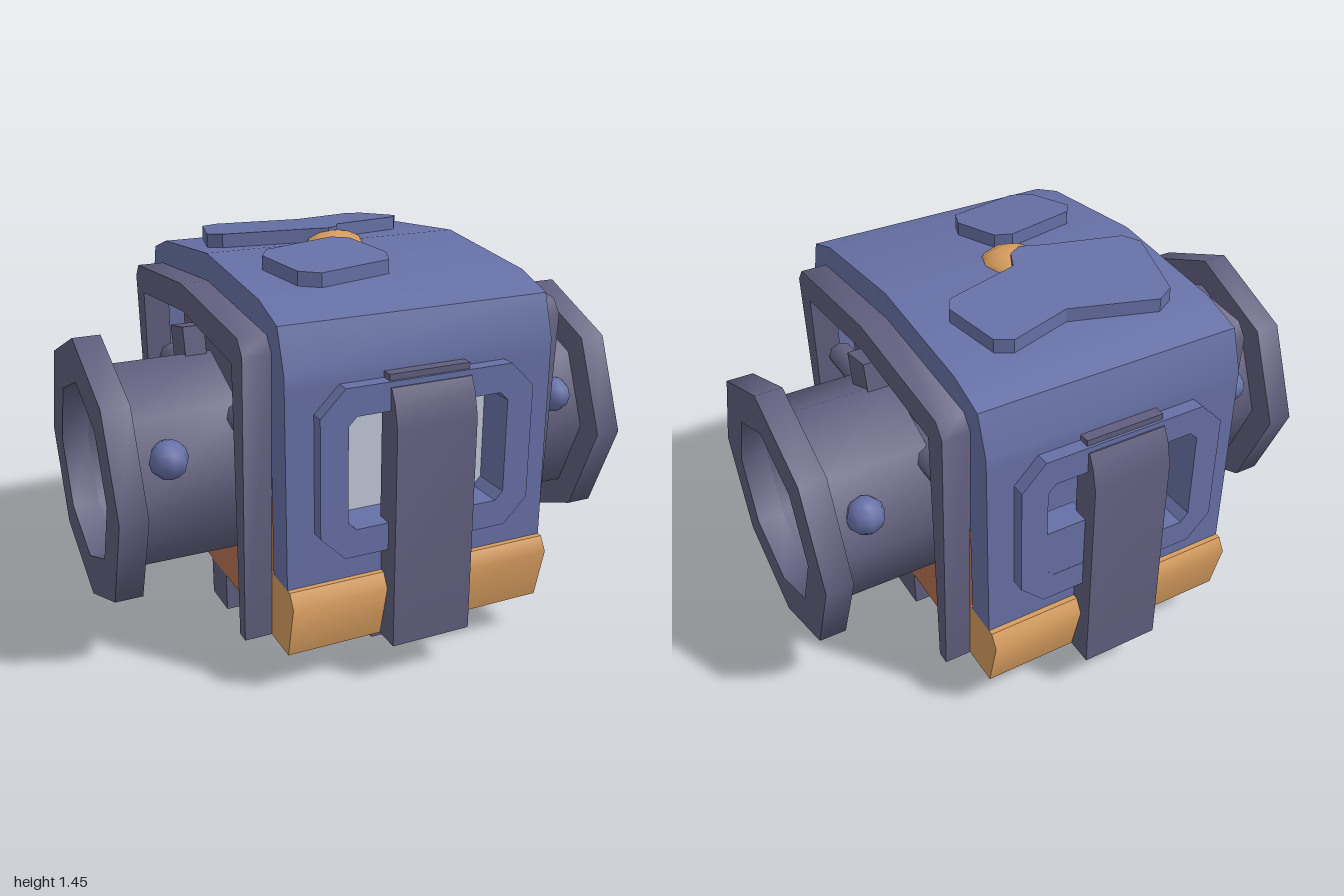
import * as THREE from 'three';
import { toCreasedNormals } from 'three/addons/utils/BufferGeometryUtils.js';

const mat = (name, color) => {
  const m = new THREE.MeshStandardMaterial({ color });
  m.name = name;
  return m;
};

export function createModel() {
  const blue = mat('slateBlue', 0x6670a5);
  const grey = mat('darkGrey', 0x605e7d);
  const orange = mat('orange', 0xd69c5e);
  const rust = mat('rust', 0xb56f50);
  const pale = mat('paleGlass', 0xc0c8d8);

  const root = new THREE.Group();
  const add = (name, geo, material, parent = root) => {
    const m = new THREE.Mesh(geo, material);
    m.name = name;
    parent.add(m);
    return m;
  };
  const poly = (pts) => new THREE.Shape(pts.map(([a, b]) => new THREE.Vector2(a, b)));
  const extrude = (shape, depth) =>
    new THREE.ExtrudeGeometry(shape, { depth, bevelEnabled: false });
  // Profile drawn in (z, y), swept from x0 to x1
  const sweepX = (shape, x0, x1) =>
    toCreasedNormals(extrude(shape, x1 - x0).rotateY(-Math.PI / 2).translate(x1, 0, 0), 0.9);
  // Rectangle with cut corners
  const chamfered = (x0, y0, x1, y1, c) => [
    [x0 + c, y0], [x1 - c, y0], [x1, y0 + c], [x1, y1 - c],
    [x1 - c, y1], [x0 + c, y1], [x0, y1 - c], [x0, y0 + c]];
  const octagon = (r, cy = 0) => Array.from({ length: 8 }, (_, i) => {
    const a = i * Math.PI / 4;
    return [r * Math.cos(a), cy + r * Math.sin(a)];
  });
  // Symmetric arch: half outlines run from the foot up to the crown
  const arch = (outer, inner) => {
    const flip = (p) => p.filter(([z]) => z > 0).map(([z, y]) => [-z, y]);
    return poly([...outer, ...flip(outer).reverse(), ...flip(inner), ...[...inner].reverse()]);
  };

  // Roof of the housing
  add('roof', sweepX(arch(
    [[0.7, 1.1], [0.7, 1.15], [0.65, 1.3], [0.5, 1.35], [0, 1.4]],
    [[0.58, 1.1], [0.58, 1.22], [0, 1.28]]), -0.5, 0.5), blue);

  // Inner core and chamber
  add('core', extrude(poly(chamfered(-0.5, -0.5, 0.5, 0.5, 0.045)), 0.5)
    .rotateX(-Math.PI / 2).translate(0, 0.15, 0), rust);
  add('chamber', new THREE.BoxGeometry(0.88, 0.58, 1).translate(0, 0.94, 0), grey);

  // Front and back walls, each with windows, strap and skirt
  for (const side of ['front', 'back']) {
    const g = new THREE.Group();
    g.name = side + 'Wall';
    if (side === 'back') g.rotation.y = Math.PI;
    root.add(g);

    const opening = () => poly(chamfered(-0.3, 0.6, 0.3, 1, 0.03));
    const wall = poly([[-0.5, 0.4], [0.5, 0.4], [0.5, 1.1], [-0.5, 1.1]]);
    wall.holes.push(opening());
    add('wallPanel', extrude(wall, 0.12).translate(0, 0, 0.58), blue, g);
    const frame = poly(chamfered(-0.4, 0.5, 0.4, 1.1, 0.09));
    frame.holes.push(opening());
    add('windowFrame', extrude(frame, 0.05).translate(0, 0, 0.7), blue, g);
    add('windowPane', new THREE.BoxGeometry(0.66, 0.46, 0.008).translate(0, 0.8, 0.6),
      side === 'front' ? pale : blue, g);
    if (side === 'back') {
      add('windowCover', new THREE.BoxGeometry(0.17, 0.2, 0.1).translate(-0.22, 0.695, 0.699), blue, g);
    }
    add('skirt', sweepX(poly(
      [[0.55, 0.15], [0.7, 0.15], [0.75, 0.35], [0.72, 0.4], [0.56, 0.4]]), -0.5, 0.5), orange, g);
    add('strap', sweepX(poly(
      [[0.69, 0.149], [0.8, 0.149], [0.8, 0.95], [0.78, 1.03], [0.755, 1.08], [0.69, 1.08]]),
      -0.15, 0.15), grey, g);
    add('strapClip', new THREE.BoxGeometry(0.3, 0.03, 0.05).translate(0, 1.107, 0.715), grey, g);
  }

  // Left and right ends: arch frame, tube, flange, rod, lever, studs
  for (const side of ['left', 'right']) {
    const g = new THREE.Group();
    g.name = side + 'End';
    if (side === 'right') g.rotation.y = Math.PI;
    root.add(g);

    add('endFrame', sweepX(arch(
      [[0.55, 0.15], [0.6, 1.2], [0.56, 1.25], [0, 1.3]],
      [[0.5, 0.15], [0.5, 1.15], [0, 1.2]]), 0.5, 0.6), grey, g);

    const ring = (r, x0, x1) => {
      const s = poly(octagon(r, 0.65));
      s.holes.push(poly(octagon(0.34, 0.65)));
      return sweepX(s, x0, x1);
    };
    add('tube', ring(0.39, 0.5, 0.9), grey, g);
    add('flange', ring(0.5, 0.9, 1), grey, g);
    add('rod', new THREE.CylinderGeometry(0.05, 0.05, 1, 8)
      .rotateX(Math.PI / 2).translate(0.5, 0.88, 0), grey, g);
    add('lever', new THREE.BoxGeometry(0.08, 0.66, 0.15)
      .rotateX(0.2).translate(0.56, 0.8, 0.015), grey, g);
    add('coreHatch', sweepX(poly(chamfered(-0.1, 0.4, 0.1, 0.62, 0.03)), 0.49, 0.51), rust, g);
    add('coreLatch', new THREE.BoxGeometry(0.08, 0.13, 0.2).translate(0.48, 0.625, 0), orange, g);
    add('innerBlock', new THREE.BoxGeometry(0.1, 0.15, 0.46).translate(0.41, 0.755, -0.05), blue, g);
    for (const s of [-1, 1]) {
      add('stud', new THREE.SphereGeometry(0.07, 8, 6).translate(0.78, 0.79, s * 0.35), blue, g);
    }
  }

  // Roof plates follow the roof slope; outlines in (x, z)
  const roofPlate = (name, pts) => {
    const geo = extrude(poly(pts.map(([x, z]) => [x, -z])), 0.055).rotateX(-Math.PI / 2);
    const p = geo.attributes.position;
    for (let i = 0; i < p.count; i++) {
      p.setY(i, p.getY(i) + 1.395 - 0.1 * Math.abs(p.getZ(i)));
    }
    geo.computeVertexNormals();
    add(name, geo, blue);
  };
  roofPlate('largeRoofPlate', [
    [-0.29, -0.5], [0.03, -0.41], [0.27, -0.48], [0.33, -0.45], [0.38, -0.24], [0.35, -0.19],
    [0.06, -0.11], [0.03, -0.04], [-0.02, -0.01], [-0.11, -0.04], [-0.4, -0.11],
    [-0.44, -0.17], [-0.36, -0.46]]);
  roofPlate('smallRoofPlate', [
    [-0.34, 0.17], [-0.06, 0.1], [0, 0.13], [0.05, 0.32], [0.02, 0.4], [-0.26, 0.46],
    [-0.33, 0.42], [-0.38, 0.23]]);
  add('roofKnob', new THREE.SphereGeometry(0.12, 8, 6).scale(1, 0.5, 1).translate(0, 1.38, 0), orange);

  // Base gear with eight square teeth
  const teeth = [];
  for (let i = 0; i < 8; i++) {
    const c = Math.cos(i * Math.PI / 4), s = Math.sin(i * Math.PI / 4);
    for (const [r, t] of [[0.39, -0.08], [0.5, -0.08], [0.5, 0.08], [0.39, 0.08]]) {
      teeth.push([r * c - t * s, r * s + t * c]);
    }
  }
  const gear = poly(teeth);
  gear.holes.push(poly(octagon(0.12)));
  add('baseGear', extrude(gear, 0.15).rotateX(-Math.PI / 2), [blue, grey]);
  add('gearHub', new THREE.CylinderGeometry(0.13, 0.13, 0.05, 8).translate(0, 0.125, 0), grey);

  return root;
}
